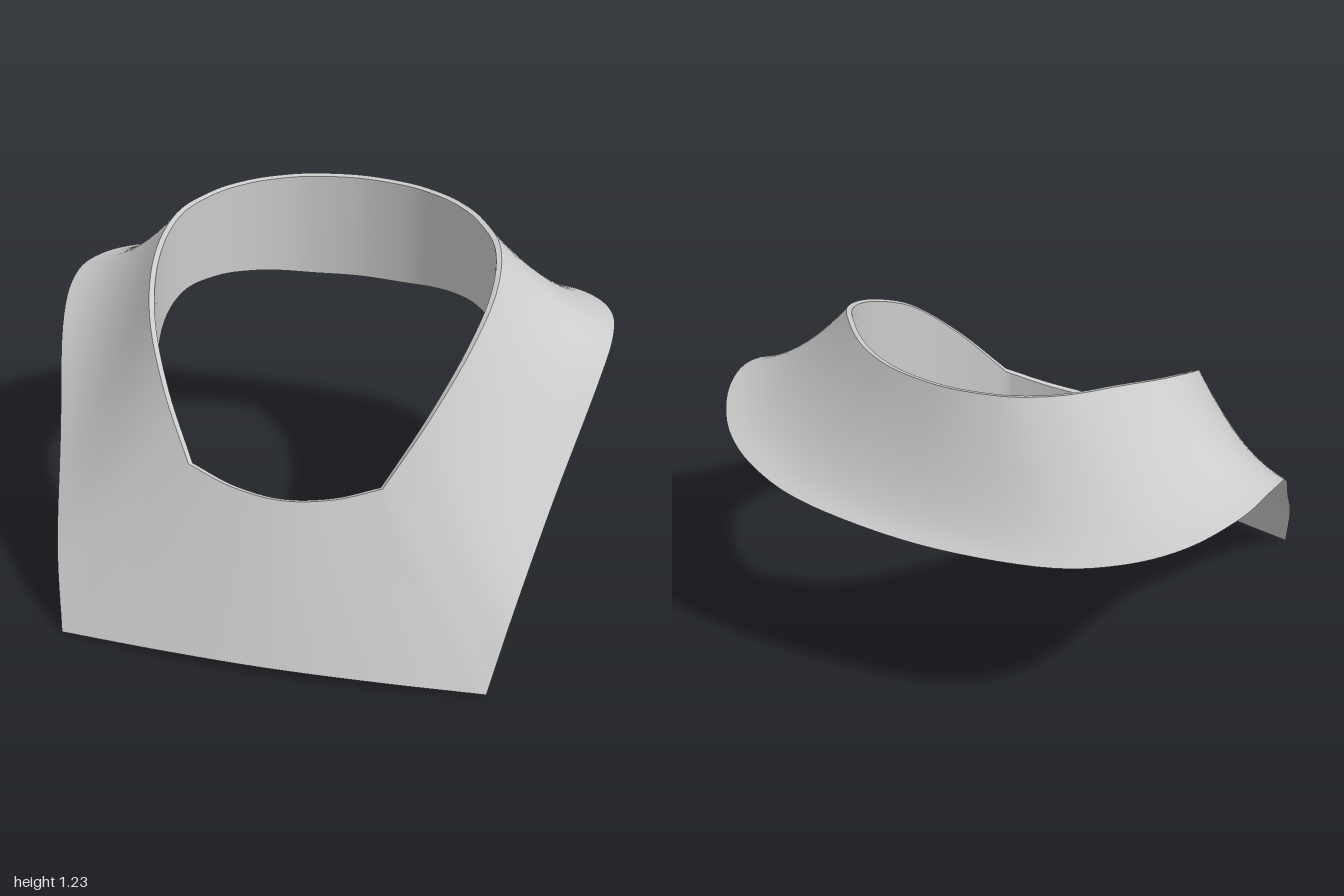
import * as THREE from 'three';

const V = (x, y, z) => new THREE.Vector3(x, y, z);

// Stations from front centre round one side to back centre:
// [neck rim xyz, outer hem xyz, bottom height of neck lining, sag of the shell]
const STATIONS = [
  [0, 0.56, 0.60, 0, 0.025, 0.83, 0.33, -0.005],
  [0.18, 0.577, 0.58, 0.39, 0.018, 0.81, 0.335, 0],
  [0.34, 0.62, 0.54, 0.755, 0, 0.765, 0.36, 0.01],
  [0.465, 0.82, 0.40, 0.815, 0.25, 0.60, 0.50, 0.03],
  [0.565, 1.00, 0.22, 0.89, 0.52, 0.31, 0.67, 0.045],
  [0.612, 1.12, 0.00, 0.975, 0.79, 0.00, 0.82, 0.05],
  [0.59, 1.195, -0.20, 1.0, 0.885, -0.22, 0.88, 0.05],
  [0.50, 1.225, -0.35, 0.965, 0.885, -0.42, 0.885, 0.06],
  [0.40, 1.23, -0.46, 0.85, 0.85, -0.61, 0.865, 0.07],
  [0.30, 1.23, -0.53, 0.67, 0.81, -0.735, 0.845, 0.08],
  [0.18, 1.23, -0.58, 0.42, 0.775, -0.805, 0.825, 0.085],
  [0, 1.23, -0.605, 0, 0.755, -0.83, 0.82, 0.09],
];
const CORNER = 2; // station at the sharp front corners
const STEPS = 6; // columns per station

// Closed ring through one point per station, mirrored, kept sharp at the front corners
function ring(pointAt) {
  const right = STATIONS.map(pointAt);
  const left = right.map((p) => V(-p.x, p.y, p.z));
  const front = [...left.slice(1, CORNER + 1).reverse(), ...right.slice(0, CORNER + 1)];
  const back = [...right.slice(CORNER), ...left.slice(CORNER, -1).reverse()];
  return [front, back].flatMap((pts) => {
    const curve = new THREE.CatmullRomCurve3(pts, false, 'catmullrom', 0.5);
    return curve.getPoints((pts.length - 1) * STEPS).slice(0, -1);
  });
}

// Surface joining a list of closed rings
function loft(name, rings, material) {
  const n = rings[0].length;
  const index = [];
  for (let j = 0; j < rings.length - 1; j++) {
    for (let i = 0; i < n; i++) {
      const a = j * n + i, b = j * n + ((i + 1) % n);
      index.push(a, a + n, b, b, a + n, b + n);
    }
  }
  const geometry = new THREE.BufferGeometry().setFromPoints(rings.flat());
  geometry.setIndex(index);
  geometry.computeVertexNormals();
  const mesh = new THREE.Mesh(geometry, material);
  mesh.name = name;
  return mesh;
}

export function createModel() {
  const group = new THREE.Group();
  group.name = 'shoulderCollar';
  const material = new THREE.MeshStandardMaterial({ color: 0xcccccc, side: THREE.DoubleSide });

  // Shell flaring from the neck rim down to the hem
  const shellRings = [];
  for (let j = 0; j <= 10; j++) {
    const t = j / 10;
    shellRings.push(ring(([rx, ry, rz, hx, hy, hz, , sag]) => {
      const p = V(rx, ry, rz).lerp(V(hx, hy, hz), t);
      p.y -= sag * 4 * t * (1 - t);
      return p;
    }));
  }
  group.add(loft('shoulderShell', shellRings, material));

  // Narrow lip on top of the rim, and the lining hanging inside the neck hole
  const rim = ring(([x, y, z]) => V(x, y, z));
  const lip = ring(([x, y, z]) => V(x * 0.97, y - 0.005, z * 0.97));
  const liningBottom = ring(([x, , z, , , , bottom]) => V(x * 0.975, bottom, z * 0.98));
  group.add(loft('rimLip', [lip, rim], material));
  group.add(loft('neckLining', [liningBottom, lip], material));
  return group;
}
